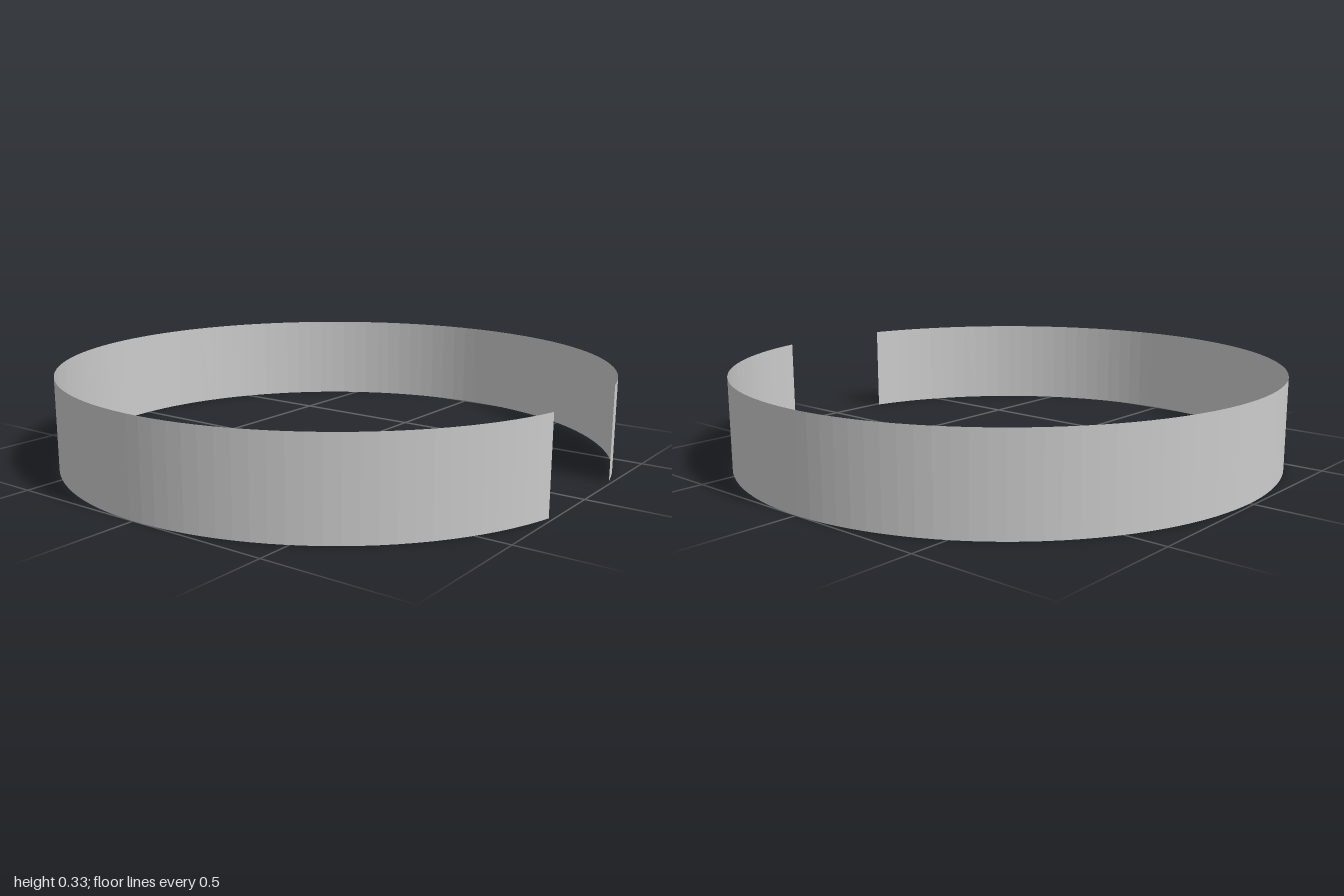
import * as THREE from 'three';

export function createModel() {
  const group = new THREE.Group();
  group.name = 'openRing';

  const radius = 1, height = 0.33;
  const halfGap = THREE.MathUtils.degToRad(13.5);

  // Thin upright band, open at the front (+z)
  const geometry = new THREE.CylinderGeometry(
    radius, radius, height, 111, 1, true, halfGap, Math.PI * 2 - halfGap * 2
  );
  const material = new THREE.MeshStandardMaterial({
    color: 0xcccccc, flatShading: true, side: THREE.DoubleSide
  });
  const band = new THREE.Mesh(geometry, material);
  band.name = 'band';

  // Stand on the ground; shift so the depth is centred despite the gap
  band.position.set(0, height / 2, radius * (1 - Math.cos(halfGap)) / 2);
  group.add(band);
  return group;
}
